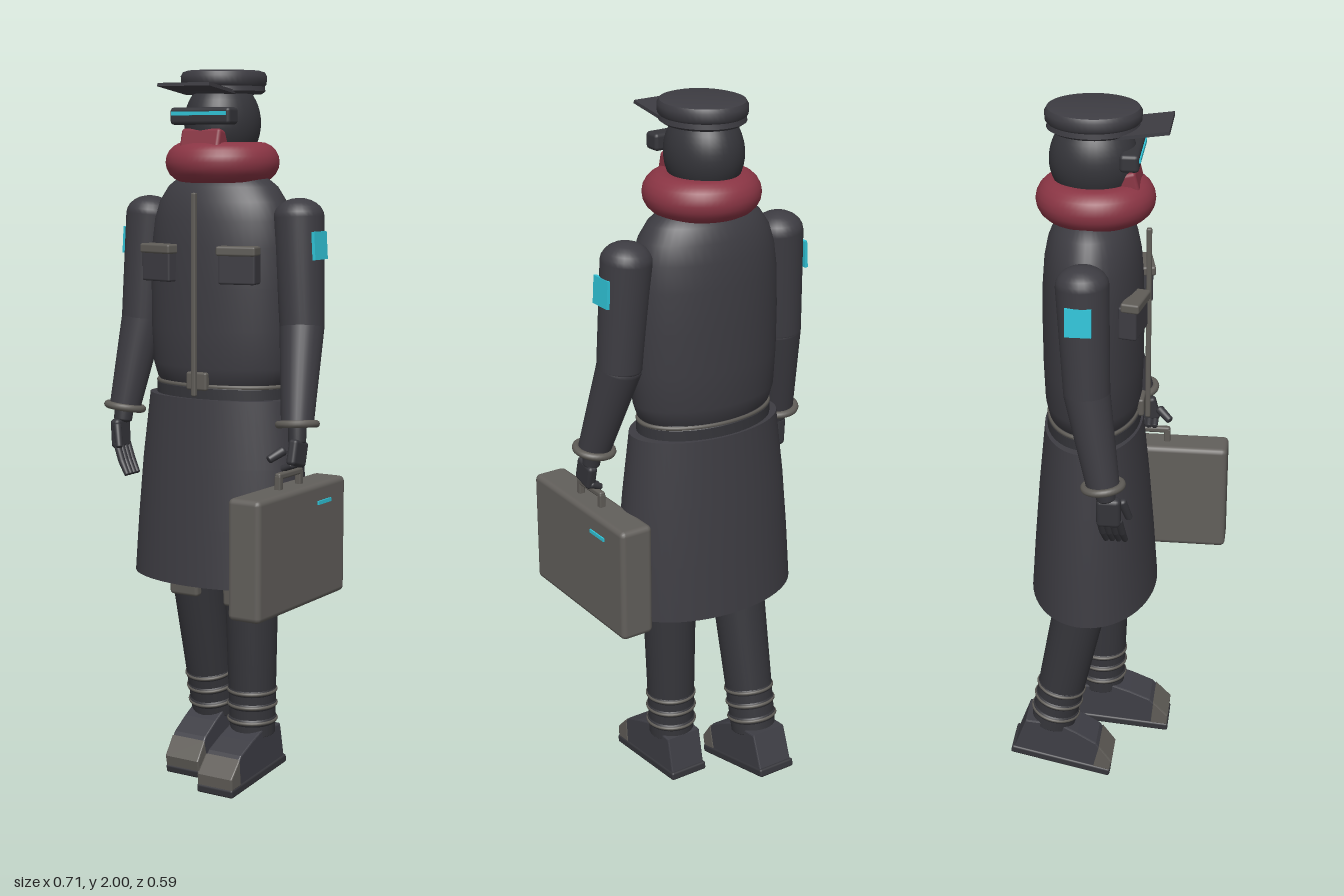
import * as THREE from 'three';
import { toCreasedNormals } from 'three/addons/utils/BufferGeometryUtils.js';
import { RoundedBoxGeometry } from 'three/addons/geometries/RoundedBoxGeometry.js';

const V = (x, y, z) => new THREE.Vector3(x, y, z);

export function createModel() {
  const root = new THREE.Group();
  const mat = (name, color, side = THREE.FrontSide) => {
    const m = new THREE.MeshStandardMaterial({ color, side });
    m.name = name;
    return m;
  };
  const coat = mat('charcoal cloth', 0x3d3c42, THREE.DoubleSide);
  const dark = mat('dark leather', 0x35353a);
  const boot = mat('boot grey', 0x3e3e45);
  const trim = mat('warm grey trim', 0x5f5c57);
  const hide = mat('case grey', 0x625f5b);
  const red = mat('scarf red', 0x8a3544);
  const cyan = mat('cyan', 0x30c4d8);

  const add = (name, geo, material, x = 0, y = 0, z = 0, rx = 0, ry = 0, rz = 0, parent = root) => {
    const m = new THREE.Mesh(geo, material);
    m.name = name;
    m.position.set(x, y, z);
    m.rotation.set(rx, ry, rz);
    parent.add(m);
    return m;
  };
  const box = (w, h, d, r = 0.006) => r
    ? new RoundedBoxGeometry(w, h, d, 2, Math.min(r, w / 2.1, h / 2.1, d / 2.1))
    : new THREE.BoxGeometry(w, h, d);
  const lathe = (pts, crease = 0.7) => toCreasedNormals(
    new THREE.LatheGeometry(pts.map(p => new THREE.Vector2(p[0], p[1])), 48), crease);

  // Tapered limb with rounded ends, from a (radius ra) down to b (radius rb)
  const limb = (name, material, a, b, ra, rb, capA = 0.7, capB = 0.4) => {
    const len = a.distanceTo(b), pts = [];
    for (let i = 0; i <= 6; i++) {
      const t = (i / 6) * Math.PI / 2;
      pts.push(new THREE.Vector2(rb * Math.sin(t), -rb * capB * Math.cos(t)));
    }
    for (let i = 0; i <= 6; i++) {
      const t = (i / 6) * Math.PI / 2;
      pts.push(new THREE.Vector2(ra * Math.cos(t), len + ra * capA * Math.sin(t)));
    }
    const m = add(name, new THREE.LatheGeometry(pts, 28), material, b.x, b.y, b.z);
    m.quaternion.setFromUnitVectors(V(0, 1, 0), a.clone().sub(b).normalize());
    return m;
  };
  const ring = (name, material, r, tube, p, dir) => {
    const m = add(name, new THREE.TorusGeometry(r, tube, 10, 36), material, p.x, p.y, p.z);
    m.quaternion.setFromUnitVectors(V(0, 0, 1), dir.clone().normalize());
    return m;
  };

  const cz = -0.057; // depth of the body axis

  // Jacket, flattened front to back
  const jacket = add('jacket', lathe([
    [0, 1.14], [0.175, 1.14], [0.2, 1.16], [0.213, 1.2], [0.219, 1.3], [0.22, 1.42], [0.217, 1.53],
    [0.208, 1.6], [0.192, 1.65], [0.165, 1.69], [0.125, 1.72], [0, 1.745]], 0.9), coat, 0, 0, cz);
  jacket.scale.z = 0.61;

  // Coat skirt, open below; depth grows towards the hem
  const skirtGeo = new THREE.LatheGeometry([[0.272, 0.6], [0.262, 0.76], [0.248, 0.93], [0.226, 1.115], [0.17, 1.118]]
    .map(p => new THREE.Vector2(...p)), 56);
  const sp = skirtGeo.attributes.position;
  for (let i = 0; i < sp.count; i++) {
    const t = (sp.getY(i) - 0.6) / 0.515;
    sp.setZ(i, sp.getZ(i) * (0.65 - 0.06 * t));
  }
  add('coatSkirt', toCreasedNormals(skirtGeo, 0.7), coat, 0, 0, cz);

  // Belt and buckle
  const belt = add('belt', lathe([[0.19, 1.09], [0.202, 1.1], [0.202, 1.145], [0.19, 1.155]]), dark, 0, 0, cz);
  belt.scale.z = 0.63;
  const hem = add('jacketHem', new THREE.TorusGeometry(0.198, 0.006, 8, 56), trim, 0, 1.15, cz, Math.PI / 2);
  hem.scale.y = 0.62;
  add('buckle', box(0.065, 0.05, 0.02), trim, 0, 1.165, 0.072);

  // Zip and chest pockets
  add('zip', box(0.014, 0.55, 0.014, 0.004), trim, 0, 1.4, 0.09);
  for (const s of [-1, 1]) {
    add('pocket', box(0.105, 0.09, 0.05), coat, s * 0.125, 1.478, 0.06, 0, s * 0.2);
    add('pocketFlap', box(0.112, 0.026, 0.05), trim, s * 0.125, 1.522, 0.067, 0, s * 0.2);
  }

  // Scarf with its front fold
  const scarf = add('scarf', new THREE.TorusGeometry(0.1, 0.056, 20, 56), red, 0.003, 1.755, -0.05, Math.PI / 2);
  scarf.scale.z = 0.98;
  add('scarfFold', box(0.125, 0.06, 0.05, 0.01), red, 0, 1.812, 0.04, -0.25);

  // Head, goggles and cap
  const head = add('head', new THREE.SphereGeometry(1, 36, 24), dark, 0, 1.86, -0.055);
  head.scale.set(0.101, 0.122, 0.115);
  add('goggles', box(0.19, 0.046, 0.05, 0.01), dark, 0.003, 1.878, 0.045);
  add('goggleStrip', box(0.172, 0.01, 0.006, 0), cyan, 0.003, 1.885, 0.071);
  const cap = add('cap', lathe([[0, 1.938], [0.1, 1.938], [0.11, 1.945], [0.108, 1.958], [0.113, 1.964],
    [0.114, 1.985], [0.108, 1.996], [0.095, 2], [0, 2]]), coat, 0.004, 0, -0.055);
  cap.scale.z = 1.1;
  add('capBrim', box(0.163, 0.009, 0.14, 0), coat, 0.002, 1.95, 0.076, -0.14);

  // Arms, cuffs, shoulder patches
  for (const s of [-1, 1]) {
    const wz = s > 0 ? 0.036 : 0.0;
    const shoulder = V(s * 0.24, 1.61, cz), elbow = V(s * 0.259, 1.32, -0.045), wrist = V(s * 0.293, 1.065, wz);
    limb('upperArm', coat, shoulder, elbow, 0.069, 0.061, 0.75, 0.4);
    limb('forearm', coat, elbow, wrist, 0.061, 0.044, 0.6, 0.1);
    ring('cuff', trim, 0.05, 0.0105, wrist, V(s * 0.1, -1, 0.12));
    add('armPatch', box(0.009, 0.075, 0.068, 0), cyan, s * 0.31, 1.537, s > 0 ? -0.047 : -0.06, 0, 0, s * 0.06);
  }

  // Relaxed right hand
  limb('wristJoint', dark, V(-0.293, 1.08, 0), V(-0.295, 1.03, 0.008), 0.028, 0.026);
  add('palm', box(0.032, 0.085, 0.065, 0.012), dark, -0.298, 0.99, 0.015, 0, 0, 0.05);
  for (let i = 0; i < 4; i++) {
    const z = -0.009 + i * 0.017;
    limb('finger', dark, V(-0.292, 0.96, z), V(-0.272, 0.915, z + 0.006), 0.01, 0.01);
    limb('fingerTip', dark, V(-0.272, 0.915, z + 0.006), V(-0.25, 0.88, z + 0.012), 0.01, 0.008);
  }
  limb('thumb', dark, V(-0.285, 1.015, 0.05), V(-0.268, 0.96, 0.066), 0.012, 0.01);

  // Left hand gripping the case
  limb('wristJoint', dark, V(0.293, 1.08, 0.036), V(0.298, 1.02, 0.045), 0.026, 0.024);
  add('palm', box(0.028, 0.07, 0.07, 0.01), dark, 0.306, 0.99, 0.058, -0.25);
  for (let i = 0; i < 4; i++)
    limb('finger', dark, V(0.304, 0.962, 0.034 + i * 0.017), V(0.277, 0.95, 0.034 + i * 0.017), 0.01, 0.009);
  limb('thumb', dark, V(0.285, 1.0, 0.1), V(0.262, 0.98, 0.13), 0.013, 0.011);

  // Briefcase
  add('case', box(0.098, 0.325, 0.465, 0.015), hide, 0.285, 0.738, 0.068);
  add('caseHandle', box(0.018, 0.018, 0.125, 0.006), trim, 0.287, 0.936, 0.068);
  for (const z of [0.014, 0.122]) add('handlePost', box(0.018, 0.045, 0.018, 0.004), trim, 0.287, 0.916, z);
  add('caseStripe', box(0.006, 0.01, 0.07, 0), cyan, 0.335, 0.848, -0.04);

  // Legs with knee pads, straps and boots
  const side = (pts, width) => {
    const g = new THREE.ExtrudeGeometry(new THREE.Shape(pts.map(p => new THREE.Vector2(p[0], p[1]))),
      { depth: width - 0.008, bevelEnabled: true, bevelSize: 0.004, bevelThickness: 0.004, bevelSegments: 2 });
    g.translate(0, 0, -(width - 0.008) / 2);
    return g.rotateY(-Math.PI / 2);
  };
  const legs = [
    { x: 0.105, hip: -0.05, knee: -0.042, ankle: -0.05, footY: 0.042, footZ: 0.004, tilt: 0.08 },
    { x: -0.1, hip: -0.055, knee: -0.085, ankle: -0.172, footY: 0.037, footZ: -0.148, tilt: 0.225 },
  ];
  for (const L of legs) {
    const hip = V(L.x, 0.95, L.hip), knee = V(L.x, 0.58, L.knee), ankle = V(L.x, 0.16, L.ankle);
    limb('thigh', dark, hip, knee, 0.08, 0.073);
    limb('shin', dark, knee, ankle, 0.075, 0.064, 0.6, 0.15);
    add('kneePad', box(0.094, 0.12, 0.03, 0.01), trim, L.x, 0.595, L.knee + 0.068, 0.06);
    const dir = knee.clone().sub(ankle);
    for (const y of [0.2, 0.245, 0.285]) {
      const p = ankle.clone().lerp(knee, (y - 0.16) / 0.42);
      ring('legWrap', dark, 0.056, 0.014, p, dir);
      ring('legStrap', trim, 0.067, 0.005, p, dir);
    }
    const foot = new THREE.Group();
    foot.name = 'boot';
    foot.position.set(L.x, L.footY, L.footZ);
    foot.rotation.x = L.tilt;
    root.add(foot);
    add('sole', box(0.116, 0.024, 0.298, 0.006), dark, 0, 0.01, 0, 0, 0, 0, foot);
    add('bootUpper', side([[-0.138, 0.02], [0.138, 0.02], [0.138, 0.05], [0.085, 0.098], [0.025, 0.118],
      [-0.03, 0.132], [-0.125, 0.118]], 0.108), boot, 0, 0, 0, 0, 0, 0, foot);
    add('toeCap', side([[0.1, 0.022], [0.142, 0.022], [0.142, 0.05], [0.1, 0.089]], 0.112), trim, 0, 0, 0, 0, 0, 0, foot);
  }
  return root;
}
